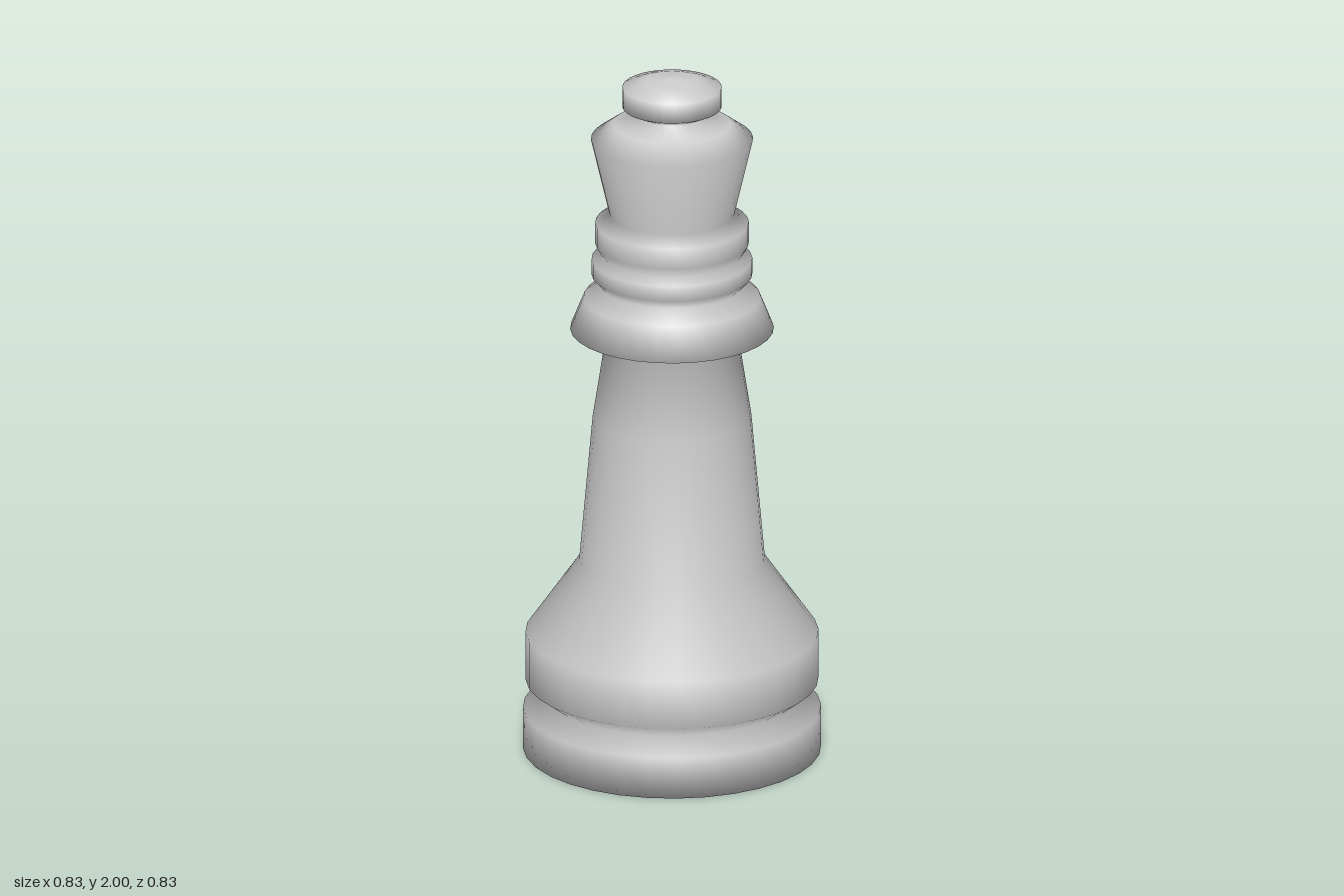
import * as THREE from 'three';

const SIDES = 32;

// Turned profile, bottom to top, as [radius, height]; each part starts where the last one ends
const PARTS = {
  base: [[0, 0], [0.417, 0], [0.417, 0.12], [0.357, 0.165]],
  plinth: [[0.41, 0.205], [0.41, 0.345], [0.26, 0.56]],
  stem: [[0.222, 0.99], [0.187, 1.215]],
  skirtCollar: [[0.285, 1.25], [0.247, 1.345], [0.2, 1.383]],
  lowerRing: [[0.225, 1.412], [0.225, 1.457], [0.198, 1.475]],
  upperRing: [[0.215, 1.505], [0.215, 1.565], [0.175, 1.593]],
  head: [[0.227, 1.815], [0.165, 1.86], [0.08, 1.883]],
  finial: [[0.139, 1.912], [0.139, 1.969], [0.075, 1.989], [0, 2]],
};

export function createModel() {
  const group = new THREE.Group();
  group.name = 'chessPiece';
  const material = new THREE.MeshStandardMaterial({ color: 0xcccccc });

  // One lathe for the whole profile, so the shading runs smoothly from part to part
  const points = Object.values(PARTS).flat().map(([r, y]) => new THREE.Vector2(r, y));
  const lathe = new THREE.LatheGeometry(points, SIDES);
  const index = Array.from(lathe.index.array);
  const bands = points.length - 1;

  // Cut the lathe into named parts by its horizontal bands
  let end = -1;
  for (const [name, rows] of Object.entries(PARTS)) {
    const start = Math.max(end, 0);
    end += rows.length;
    const faces = [];
    for (let s = 0; s < SIDES; s++) {
      faces.push(...index.slice((s * bands + start) * 6, (s * bands + end) * 6));
    }
    const geometry = lathe.clone();
    geometry.setIndex(faces);
    const mesh = new THREE.Mesh(geometry, material);
    mesh.name = name;
    group.add(mesh);
  }
  return group;
}
